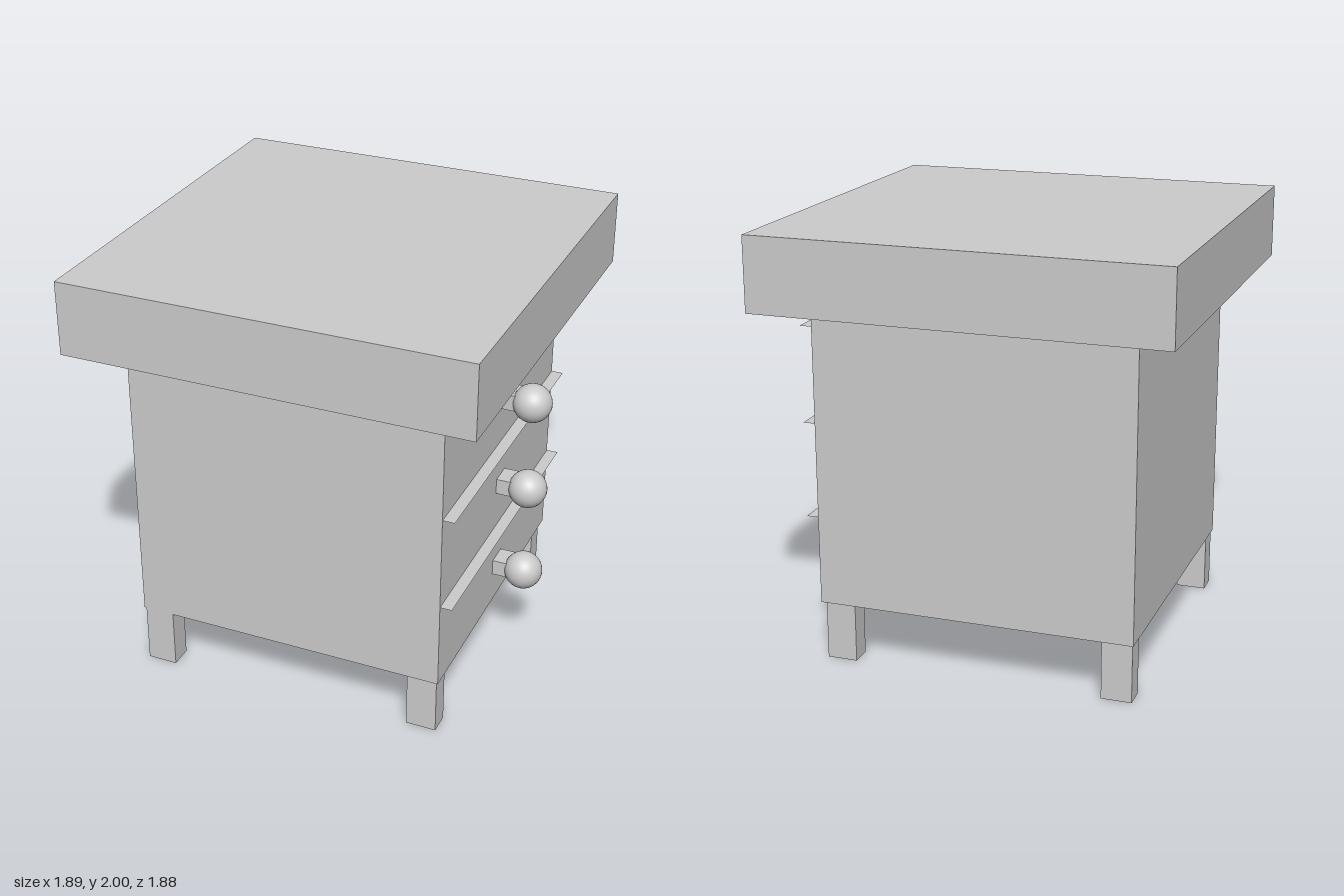
import * as THREE from 'three';

export function createModel() {
  const model = new THREE.Group();
  const material = new THREE.MeshStandardMaterial({ color: 0xcccccc });
  const thin = new THREE.MeshStandardMaterial({ color: 0xcccccc, side: THREE.DoubleSide });

  // Box given by its extents along each axis
  function box(name, x0, x1, y0, y1, z0, z1, parent = model) {
    const mesh = new THREE.Mesh(new THREE.BoxGeometry(x1 - x0, y1 - y0, z1 - z0), material);
    mesh.position.set((x0 + x1) / 2, (y0 + y1) / 2, (z0 + z1) / 2);
    mesh.name = name;
    parent.add(mesh);
  }

  box('tableTop', -0.95, 0.925, 1.66, 2, -0.94, 0.94);
  box('cabinetBody', -0.75, 0.72, 0.28, 1.66, -0.735, 0.735);

  // Legs: the front one on the right sits flush with the cabinet front
  box('frontRightLeg', -0.74, -0.6, 0, 0.28, 0.63, 0.735);
  box('frontLeftLeg', 0.565, 0.705, 0, 0.28, 0.61, 0.71);
  box('backRightLeg', -0.74, -0.6, 0, 0.28, -0.71, -0.61);
  box('backLeftLeg', 0.565, 0.705, 0, 0.28, -0.71, -0.61);

  // Three drawers: a knob on a stem, with a paper-thin ledge above each
  for (let i = 0; i < 3; i++) {
    const y = 0.47 + i * 0.44;
    const drawer = new THREE.Group();
    drawer.name = 'drawer' + (i + 1);
    box('knobStem', 0.7, 0.8, y - 0.037, y + 0.037, -0.07, 0.04, drawer);

    const knob = new THREE.Mesh(new THREE.SphereGeometry(0.088, 32, 20), material);
    knob.position.set(0.857, y, 0);
    knob.name = 'knob';
    drawer.add(knob);

    const ledge = new THREE.Mesh(new THREE.PlaneGeometry(0.055, 1.47), thin);
    ledge.rotation.x = -Math.PI / 2;
    ledge.position.set(0.7475, y + 0.22, 0);
    ledge.name = 'drawerLedge';
    drawer.add(ledge);
    model.add(drawer);
  }

  return model;
}
